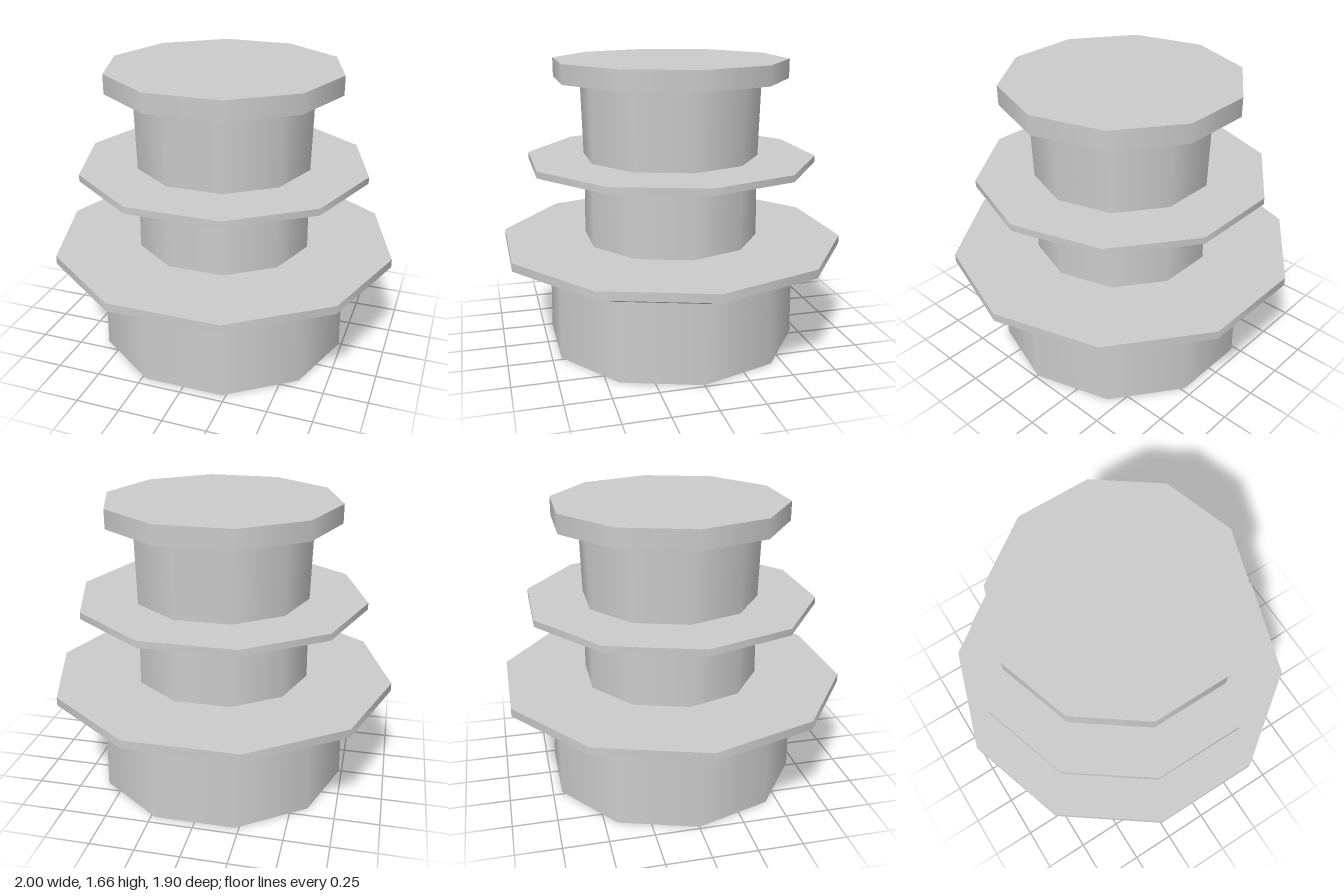
import * as THREE from 'three';
import { mergeGeometries } from 'three/addons/utils/BufferGeometryUtils.js';

const SIDES = 10;
const material = new THREE.MeshStandardMaterial({ color: 0xcccccc, side: THREE.DoubleSide });

// Ten-sided band per pair of profile points: smooth around, sharp between bands
function turned(name, profile) {
  const bands = [];
  for (let i = 0; i < profile.length - 1; i++) {
    const pair = [profile[i], profile[i + 1]].map(([r, y]) => new THREE.Vector2(r, y));
    bands.push(new THREE.LatheGeometry(pair, SIDES, Math.PI / 2));
  }
  const mesh = new THREE.Mesh(mergeGeometries(bands), material);
  mesh.name = name;
  return mesh;
}

export function createModel() {
  const model = new THREE.Group();
  model.name = 'tieredTower';

  model.add(
    // Hollow drums, open at both ends
    turned('baseDrum', [[0.735, 0], [0.727, 0.5]]),
    turned('middleDrum', [[0.51, 0.625], [0.505, 1.02]]),
    turned('upperDrum', [[0.507, 1.105], [0.518, 1.533]]),

    // Flanges: under-lip, flared collar, thin rim and flat top
    turned('lowerFlange', [[0.727, 0.5], [0.82, 0.5], [0.9, 0.577], [1, 0.577], [1, 0.625], [0.51, 0.625]]),
    turned('upperFlange', [[0.505, 1.02], [0.563, 1.02], [0.597, 1.067], [0.835, 1.067], [0.835, 1.105], [0.507, 1.105]]),

    // Closed lid floating just above the upper drum
    turned('topLid', [[0, 1.548], [0.671, 1.548], [0.671, 1.656], [0, 1.656]])
  );
  return model;
}
